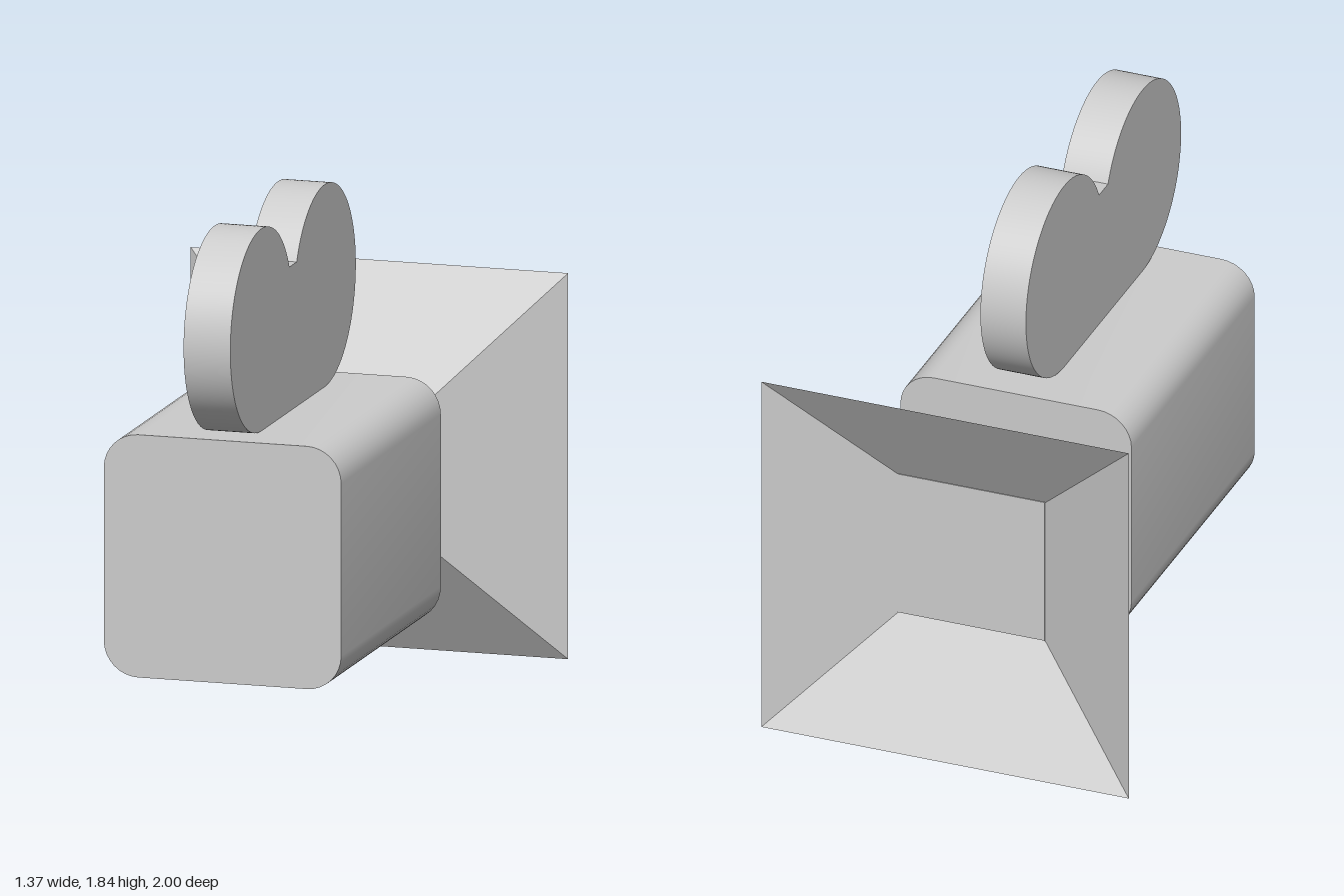
import * as THREE from 'three';
import { toCreasedNormals } from 'three/addons/utils/BufferGeometryUtils.js';

const AXIS_Y = 0.69; // height of the lens axis

export function createModel() {
  const group = new THREE.Group();
  const grey = new THREE.MeshStandardMaterial({ color: 0xcccccc, side: THREE.DoubleSide });
  grey.name = 'light grey';

  const add = (name, geometry, x, y, z) => {
    const mesh = new THREE.Mesh(geometry, grey);
    mesh.name = name;
    mesh.position.set(x, y, z);
    group.add(mesh);
  };

  // Camera body: rounded square extruded along z
  const h = 0.432, r = 0.125, c = h - r;
  const outline = new THREE.Shape();
  outline.absarc(c, c, r, 0, Math.PI / 2);
  outline.absarc(-c, c, r, Math.PI / 2, Math.PI);
  outline.absarc(-c, -c, r, Math.PI, Math.PI * 1.5);
  outline.absarc(c, -c, r, Math.PI * 1.5, Math.PI * 2);
  outline.closePath();
  const body = new THREE.ExtrudeGeometry(outline, { depth: 1.155, bevelEnabled: false, curveSegments: 4 });
  add('body', toCreasedNormals(body, 0.7), 0, AXIS_Y + 0.003, -0.335);

  // Film magazine: two round lobes with a flat base and a notch on top
  const R = 0.36, cy = 1.486, notch = 25.3 * Math.PI / 180;
  const lobes = new THREE.Shape();
  lobes.moveTo(0.273, 1.56);
  lobes.absarc(-0.095, cy, R, notch, Math.PI * 1.5);
  lobes.absarc(0.64, cy, R, -Math.PI / 2, Math.PI - notch);
  lobes.closePath();
  const magazine = new THREE.ExtrudeGeometry(lobes, { depth: 0.17, bevelEnabled: false, curveSegments: 40 });
  magazine.rotateY(-Math.PI / 2);
  add('filmMagazine', toCreasedNormals(magazine, 0.7), 0.085, 0, 0);

  // Stepped square lens barrel: [name, width, near z, far z]
  for (const [name, w, z0, z1] of [
    ['lensMount', 0.56, -0.335, -0.475],
    ['lensNeck', 0.48, -0.475, -0.575],
    ['lensBarrel', 0.55, -0.575, -0.755],
  ]) {
    add(name, new THREE.BoxGeometry(w, w, z0 - z1), 0, AXIS_Y + 0.003, (z0 + z1) / 2);
  }

  // Flared lens hood, open at the wide end
  const hood = new THREE.CylinderGeometry(0.275 * Math.SQRT2, 0.687 * Math.SQRT2, 0.25, 4, 1, true);
  hood.rotateY(Math.PI / 4).rotateX(Math.PI / 2);
  add('lensHood', toCreasedNormals(hood, 0.5), 0, AXIS_Y, -0.875);

  return group;
}
